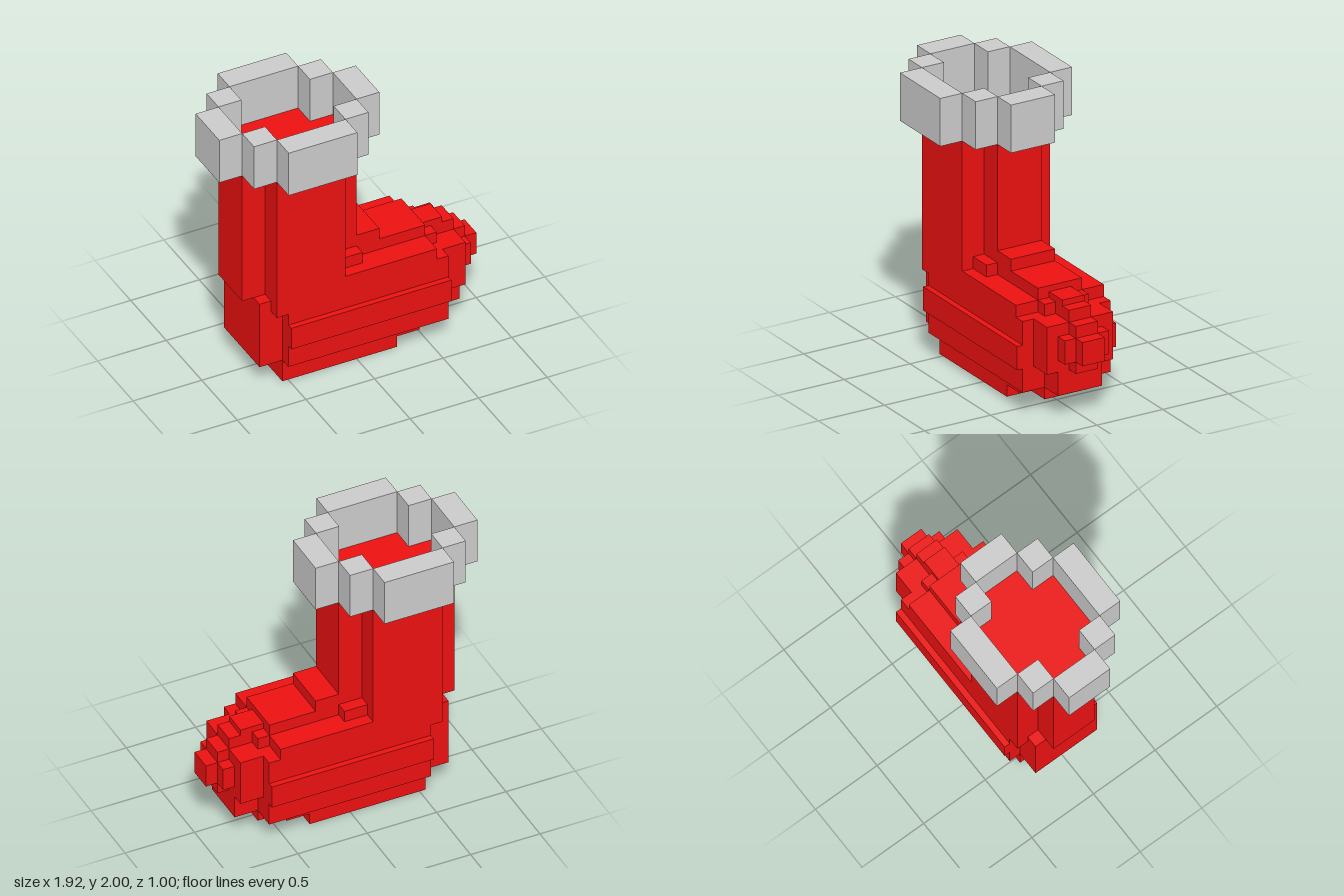
import * as THREE from 'three';

const U = 1 / 12; // size of one block unit

export function createModel() {
  const model = new THREE.Group();
  model.name = 'sock';
  const red = new THREE.MeshStandardMaterial({ color: 0xec1111, flatShading: true });
  const grey = new THREE.MeshStandardMaterial({ color: 0xcccccc, flatShading: true });

  // Box between block coordinates; x counts from the heel-side end, y from the ground
  function block(parent, name, material, x0, x1, y0, y1, z0, z1) {
    const mesh = new THREE.Mesh(
      new THREE.BoxGeometry((x1 - x0) * U, (y1 - y0) * U, (z1 - z0) * U), material);
    mesh.position.set(((x0 + x1) / 2 - 11.5) * U, (y0 + y1) / 2 * U, (z0 + z1) / 2 * U);
    mesh.name = name;
    parent.add(mesh);
  }

  // Red parts, symmetric in z: x0, x1, y0, y1, half depth
  const parts = {
    leg: [[2, 12, 8, 20, 2], [4, 10, 7, 20, 4]],
    heel: [[3, 5, 2, 8, 3]],
    foot: [[5, 18, 2, 9, 4], [18, 19, 2, 8, 4], [5, 19, 4, 6, 4.5]],
    instep: [[10, 12, 9, 10, 3], [10, 18, 9, 10, 2], [12, 14, 10, 11, 2]],
    sole: [[5, 15, 0, 1, 3], [5, 17, 1, 2, 3], [17, 19, 1, 2, 2]],
    toe: [
      [18, 19, 8, 9, 2], [18, 20, 9, 9.5, 1], [19, 21, 8, 9, 1],
      [19, 21, 4, 8, 3], [19, 21, 2, 4, 2],
      [21, 22, 4, 8, 1], [21, 22, 5, 7, 2], [22, 23, 5, 7, 1],
    ],
  };
  for (const [name, boxes] of Object.entries(parts)) {
    const group = new THREE.Group();
    group.name = name;
    for (const [x0, x1, y0, y1, h] of boxes) block(group, name + 'Block', red, x0, x1, y0, y1, -h, h);
    model.add(group);
  }

  // Open cuff: a ring of blocks around the top of the leg
  const cuff = new THREE.Group();
  cuff.name = 'cuff';
  for (const [x0, x1] of [[0, 2], [12, 14]]) block(cuff, 'cuffEnd', grey, x0, x1, 20 - 0.04, 24, -2, 2);
  for (const s of [-1, 1]) {
    const side = (name, x0, x1, a, b) =>
      block(cuff, name, grey, x0, x1, 20 - 0.04, 24, Math.min(s * a, s * b), Math.max(s * a, s * b));
    side('cuffSide', 4, 10, 4, 6);
    side('cuffCorner', 2, 4, 2, 4);
    side('cuffCorner', 10, 12, 2, 4);
  }
  model.add(cuff);
  return model;
}
